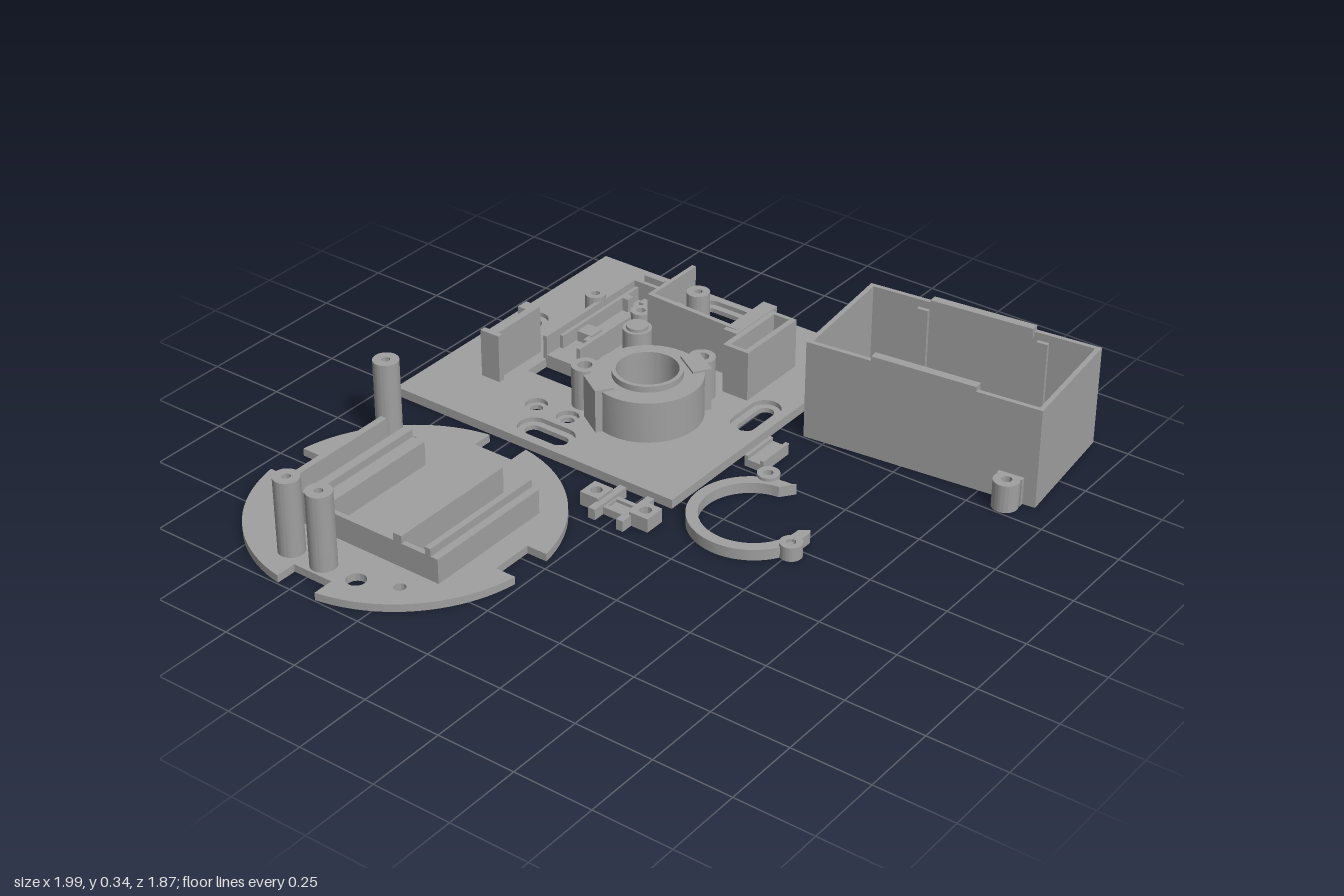
import * as THREE from 'three';
import { toCreasedNormals } from 'three/addons/utils/BufferGeometryUtils.js';

const grey = new THREE.MeshStandardMaterial({ color: 0xa0a0a0 });
grey.name = 'plain grey';

// ---- outline helpers: every outline lies in the x-z ground plane ----
const poly = pts => new THREE.Shape(pts.map(p => new THREE.Vector2(...p)));
const rect = (x0, x1, z0, z1) => poly([[x0, z0], [x1, z0], [x1, z1], [x0, z1]]);
const circle = (x, z, r) => new THREE.Shape().absarc(x, z, r, 0, Math.PI * 2);
const arcPoints = (cx, cz, r, a0, a1, n) => Array.from({ length: n + 1 }, (_, i) => {
  const a = a0 + (a1 - a0) * i / n;
  return [cx + r * Math.cos(a), cz + r * Math.sin(a)];
});
// Rounded slot of total width w and length l
const slot = (x, z, w, l) => {
  const r = Math.min(w, l) / 2, dx = w / 2 - r, dz = l / 2 - r;
  return poly(w > l
    ? [...arcPoints(x + dx, z, r, -Math.PI / 2, Math.PI / 2, 12), ...arcPoints(x - dx, z, r, Math.PI / 2, Math.PI * 1.5, 12)]
    : [...arcPoints(x, z + dz, r, 0, Math.PI, 12), ...arcPoints(x, z - dz, r, Math.PI, Math.PI * 2, 12)]);
};

// Raise an outline with holes from y0 to y1
function raise(group, name, shape, holes, y0, y1) {
  shape.holes.push(...holes);
  const geo = new THREE.ExtrudeGeometry(shape, { depth: y1 - y0, bevelEnabled: false, curveSegments: 32 });
  geo.rotateX(Math.PI / 2).translate(0, y1, 0);
  const mesh = new THREE.Mesh(toCreasedNormals(geo, 0.5), grey);
  mesh.name = name;
  group.add(mesh);
}
const block = (g, name, x0, x1, z0, z1, y0, y1) => raise(g, name, rect(x0, x1, z0, z1), [], y0, y1);
const tube = (g, name, x, z, r, hole, y0, y1) => raise(g, name, circle(x, z, r), [circle(x, z, hole)], y0, y1);

function makeGroup(parent, name) {
  const g = new THREE.Group();
  g.name = name;
  parent.add(g);
  return g;
}

// Round plate with four notches, three posts and two holder bays
function buildRoundPlate(root) {
  const g = makeGroup(root, 'roundPlate');
  const cx = -0.538, cz = -0.478, R = 0.463, half = 0.069, depth = 0.39;
  const d = Math.asin(half / R), pts = [];
  for (let k = 0; k < 4; k++) {
    const a = k * Math.PI / 2, c = Math.cos(a), s = Math.sin(a);
    for (const t of [-half, half]) pts.push([cx + depth * c - t * s, cz + depth * s + t * c]);
    pts.push(...arcPoints(cx, cz, R, a + d, a + Math.PI / 2 - d, 20));
  }
  raise(g, 'disc', poly(pts), [circle(-0.88, -0.36, 0.03), circle(-0.835, -0.24, 0.018), circle(-0.24, -0.715, 0.018)], 0, 0.025);
  for (const [x, z] of [[-0.88, -0.6], [-0.88, -0.48], [-0.24, -0.8]]) tube(g, 'post', x, z, 0.04, 0.013, 0.02, 0.27);
  // Each rail is a tall strip with a lower step beside it
  for (const [z0, zm, z1, tallFirst] of [[-0.78, -0.757, -0.735, false], [-0.665, -0.635, -0.59, true],
    [-0.365, -0.325, -0.295, false], [-0.21, -0.19, -0.165, true]]) {
    block(g, 'rail', -0.76, -0.32, z0, zm, 0.02, tallFirst ? 0.13 : 0.105);
    block(g, 'rail', -0.76, -0.32, zm, z1, 0.02, tallFirst ? 0.105 : 0.13);
  }
  block(g, 'bayEndWall', -0.76, -0.743, -0.78, -0.165, 0.02, 0.105);
}

// Square base plate: two layers make the stepped slots and screw holes
function buildBasePlate(root) {
  const g = makeGroup(root, 'basePlate');
  const windows = () => [rect(0.27, 0.36, -0.685, -0.475), rect(0.185, 0.345, -0.775, -0.752),
    rect(0.638, 0.852, -0.247, -0.197), rect(0.545, 0.77, -0.118, -0.063), circle(0.295, -0.243, 0.095),
    circle(0.225, -0.425, 0.022), circle(0.475, -0.175, 0.022)];
  const slots = [[0.477, -0.87, 1], [0.477, 0.025, 1], [0.03, -0.42, 0], [0.92, -0.42, 0]];
  const screws = [[0.132, -0.54], [0.132, -0.42], [0.772, -0.74]];
  for (const [y0, y1, grow] of [[0, 0.015, 0], [0.015, 0.03, 1]]) {
    const w = 0.053 + grow * 0.045, l = 0.153 + grow * 0.043;
    raise(g, 'plateLayer', rect(-0.045, 0.995, -0.943, 0.1), [...windows(),
      ...slots.map(([x, z, wide]) => wide ? slot(x, z, l, w) : slot(x, z, w, l)),
      ...screws.map(([x, z]) => circle(x, z, 0.02 + grow * 0.015))], y0, y1);
  }

  // Round tower with raised inner collar, clip tabs and screw bosses
  const t = makeGroup(g, 'roundTower');
  tube(t, 'towerWall', 0.295, -0.243, 0.17, 0.095, 0.025, 0.165);
  tube(t, 'towerCollar', 0.295, -0.243, 0.108, 0.095, 0.16, 0.185);
  tube(t, 'towerBoss', 0.225, -0.425, 0.042, 0.022, 0.025, 0.165);
  tube(t, 'towerBoss', 0.475, -0.175, 0.042, 0.022, 0.025, 0.165);
  for (const a of [0.56, 0.56 + Math.PI]) {
    const tab = new THREE.Mesh(new THREE.BoxGeometry(0.06, 0.145, 0.1), grey);
    tab.name = 'towerTab';
    tab.position.set(0.295 + 0.155 * Math.cos(a), 0.1, -0.243 + 0.155 * Math.sin(a));
    tab.rotation.y = -a;
    t.add(tab);
  }

  // Stepped knob
  raise(g, 'knobFoot', circle(0.477, -0.42, 0.073), [], 0.025, 0.06);
  tube(g, 'knobStem', 0.477, -0.42, 0.045, 0.034, 0.05, 0.18);
  raise(g, 'knobCore', circle(0.477, -0.42, 0.034), [], 0.05, 0.19);

  // Upright bracket at the back
  const b = makeGroup(g, 'bracket');
  block(b, 'bracketWall', 0.165, 0.385, -0.75, -0.725, 0.025, 0.19);
  block(b, 'bracketSide', 0.165, 0.185, -0.78, -0.71, 0.025, 0.19);
  block(b, 'bracketSide', 0.345, 0.385, -0.78, -0.725, 0.025, 0.19);
  block(b, 'bracketBack', 0.185, 0.345, -0.787, -0.775, 0.025, 0.06);

  // Long channel with rails, stops and bosses
  const c = makeGroup(g, 'channel');
  block(c, 'channelFloor', 0.36, 0.82, -0.68, -0.56, 0.025, 0.045);
  for (const z of [-0.695, -0.565]) block(c, 'channelRail', 0.36, 0.82, z, z + 0.014, 0.025, 0.11);
  block(c, 'channelStep', 0.42, 0.82, -0.677, -0.665, 0.025, 0.09);
  block(c, 'channelEnd', 0.806, 0.82, -0.69, -0.56, 0.025, 0.11);
  block(c, 'channelClip', 0.83, 0.845, -0.66, -0.585, 0.025, 0.125);
  block(c, 'stop', 0.485, 0.54, -0.66, -0.605, 0.04, 0.08);
  for (const [x, z] of [[0.735, -0.655], [0.745, -0.595], [0.455, -0.59]]) block(c, 'smallStop', x - 0.014, x + 0.014, z - 0.012, z + 0.012, 0.04, 0.09);
  for (const z of [-0.713, -0.533]) tube(c, 'channelBoss', 0.645, z, 0.033, 0.014, 0.025, 0.125);

  // Open compartment, with a gently sloping side wall
  const k = makeGroup(g, 'compartment');
  const wall = new THREE.ExtrudeGeometry(poly([[0.15, 0.025], [0.487, 0.025], [0.487, 0.21], [0.15, 0.2]]), { depth: 0.016, bevelEnabled: false });
  wall.rotateY(Math.PI / 2).translate(0.618, 0, 0);
  const side = new THREE.Mesh(wall, grey);
  side.name = 'slopedWall';
  k.add(side);
  block(k, 'rearWall', 0.618, 0.85, -0.487, -0.473, 0.025, 0.21);
  block(k, 'frontBlock', 0.6, 0.812, -0.187, -0.137, 0.025, 0.198);
  raise(k, 'sleeve', rect(0.53, 0.785, -0.137, -0.045), [rect(0.545, 0.77, -0.118, -0.063)], 0.025, 0.195);
  for (const x of [0.675, 0.805]) tube(k, 'compartmentPost', x, -0.43, 0.037, 0.013, 0.025, 0.155);
}

// Tall open frame, turned slightly
function buildTallFrame(root) {
  const g = makeGroup(root, 'tallFrame');
  g.position.set(0.75, 0, 0.532);
  g.rotation.y = 0.106;
  const w = 0.206, l = 0.377;
  raise(g, 'frameWalls', rect(-w, w, -l, l), [rect(-w + 0.015, w - 0.015, -l + 0.015, l - 0.015)], 0, 0.325);
  for (const s of [-1, 1]) {
    // Lip along the top of the long wall, with thin ribs below
    const x0 = s < 0 ? -w : w - 0.028;
    block(g, 'topLip', x0, x0 + 0.028, -0.165, 0.17, 0.31, 0.34);
    for (const z of [-0.19, 0.2]) block(g, 'rib', x0, x0 + 0.022, z - 0.018, z + 0.018, 0.03, 0.3);
    // Screw ear on opposite corners
    const x = s * (w + 0.033), z = -s * 0.297;
    tube(g, 'ear', x, z, 0.04, 0.016, 0, 0.09);
    block(g, 'earWeb', Math.min(s * w, s * (w + 0.016)), Math.max(s * w, s * (w + 0.016)), z - 0.04, z + 0.04, 0, 0.09);
  }
}

// Open clamp ring with two screw ears
function buildClampRing(root) {
  const g = makeGroup(root, 'clampRing');
  const cx = 0.035, cz = 0.325, a0 = 1.5, a1 = Math.PI * 2 + 0.02;
  raise(g, 'arc', poly([...arcPoints(cx, cz, 0.19, a0, a1, 48), [0.232, 0.342], ...arcPoints(cx, cz, 0.155, a1 - 0.12, a0 + 0.05, 48), [0.06, 0.508]]), [], 0, 0.035);
  tube(g, 'ringEar', 0.222, 0.25, 0.034, 0.014, 0, 0.045);
  tube(g, 'ringEar', -0.033, 0.506, 0.034, 0.014, 0, 0.045);
}

// Small clip with two cross bars, and a small slider block
function buildSmallParts(root) {
  const g = makeGroup(root, 'smallClip');
  for (const s of [-1, 1]) {
    const z = s * 0.088 - 0.003;
    raise(g, 'clipEnd', rect(-0.185, -0.115, z - 0.033, z + 0.033), [circle(-0.15, z, 0.018)], 0, 0.045);
    block(g, 'crossBar', -0.224, -0.076, s * 0.05 - 0.014, s * 0.05 + 0.01, 0, 0.035);
  }
  raise(g, 'clipBody', rect(-0.185, -0.115, -0.06, 0.06), [rect(-0.17, -0.13, -0.035, 0.035)], 0, 0.025);
  block(g, 'clipFloor', -0.17, -0.13, -0.035, 0.035, 0, 0.015);
  const s = makeGroup(root, 'slider');
  block(s, 'sliderBase', 0.268, 0.397, 0.132, 0.2, 0, 0.025);
  for (const z of [0.132, 0.188]) block(s, 'sliderEdge', 0.268, 0.397, z, z + 0.012, 0.02, 0.038);
}

export function createModel() {
  const root = new THREE.Group();
  root.name = 'partsSet';
  for (const build of [buildRoundPlate, buildBasePlate, buildTallFrame, buildClampRing, buildSmallParts]) build(root);
  return root;
}
